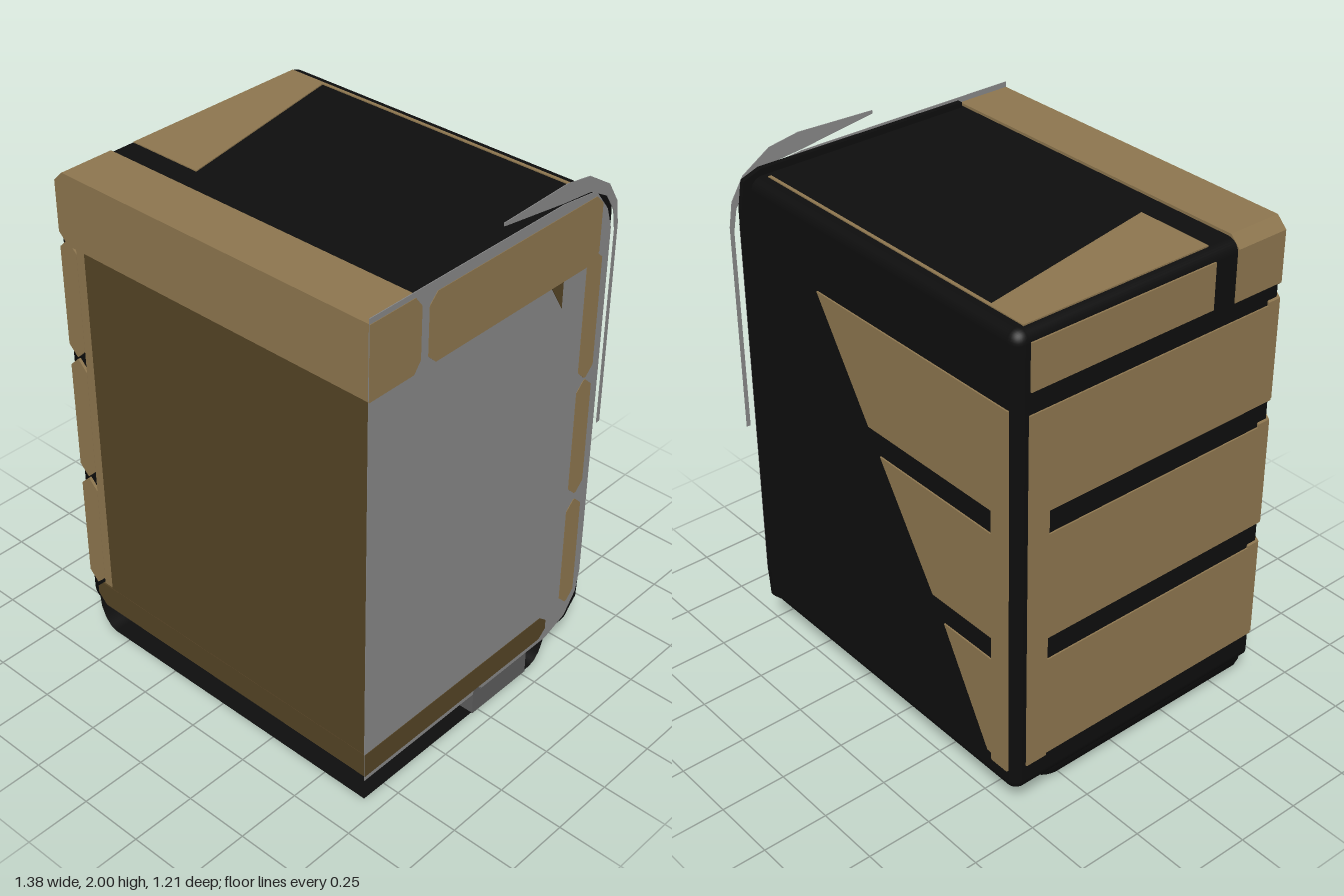
import * as THREE from 'three';
import { RoundedBoxGeometry } from 'three/addons/geometries/RoundedBoxGeometry.js';

const material = (name, color, side = THREE.FrontSide) => {
  const m = new THREE.MeshStandardMaterial({ color, side });
  m.name = name;
  return m;
};

export function createModel() {
  const model = new THREE.Group();
  const tan = material('tan', 0x8c754e);
  const brown = material('dark brown', 0x544325);
  const grey = material('grey', 0x868686);
  const darkGrey = material('dark grey', 0x5c5c5c);
  const black = material('black', 0x0d0d0d, THREE.DoubleSide);

  const add = (name, geometry, mat) => {
    const mesh = new THREE.Mesh(geometry, mat);
    mesh.name = name;
    model.add(mesh);
    return mesh;
  };
  const extrude = (pts, depth) => new THREE.ExtrudeGeometry(
    new THREE.Shape(pts.map(([a, b]) => new THREE.Vector2(a, b))), { depth, bevelEnabled: false });
  // outline in x, y, running forward from z
  const frontPlate = (name, mat, pts, z, depth) => add(name, extrude(pts, depth).translate(0, 0, z), mat);
  // outline in z, y, running towards +x from x
  const sidePlate = (name, mat, pts, x, depth) =>
    add(name, extrude(pts.map(([z, y]) => [-z, y]), depth).rotateY(Math.PI / 2).translate(x, 0, 0), mat);
  // outline in x, z, running upwards from y
  const topPlate = (name, mat, pts, y, depth) =>
    add(name, extrude(pts.map(([x, z]) => [x, -z]), depth).rotateX(-Math.PI / 2).translate(0, y, 0), mat);
  const rect = (a0, a1, b0, b1) => [[a0, b0], [a1, b0], [a1, b1], [a0, b1]];
  const octagon = (a0, a1, b0, b1, c) => [
    [a0 + c, b0], [a1 - c, b0], [a1, b0 + c], [a1, b1 - c],
    [a1 - c, b1], [a0 + c, b1], [a0, b1 - c], [a0, b0 + c]];

  // Black body: rounded box cut flat at the front and the +x side
  const body = new RoundedBoxGeometry(1.568, 1.79, 1.324, 4, 0.045).translate(0.1, 1.005, 0.138);
  const p = body.attributes.position;
  for (let i = 0; i < p.count; i++) {
    p.setX(i, Math.min(p.getX(i), 0.684));
    p.setZ(i, Math.min(p.getZ(i), 0.592));
  }
  add('body', body, black);

  // Raised rim along the cut side
  sidePlate('rim', black, [[0.38, 0.11], [-0.5, 0.12], [-0.56, 0.18], [-0.567, 0.3], [-0.567, 1.8],
    [-0.55, 1.9], [-0.48, 1.925], [0.38, 1.92]], 0.665, 0.02);

  // Grey lining that closes the cut side
  sidePlate('lining', grey, [[0.604, 0.09], [-0.38, 0.09], [-0.49, 0.13], [-0.55, 0.21], [-0.567, 0.3],
    [-0.567, 1.74], [-0.54, 1.82], [-0.47, 1.91], [-0.3, 1.93], [0.604, 1.93]], 0.685, 0.003);

  // Strap looping over the top and down the back
  const strap = [[0, 1.99], [0, 1.978], [-0.3, 1.935], [-0.44, 1.92], [-0.53, 1.87], [-0.575, 1.8],
    [-0.59, 1.72], [-0.59, 0.95], [-0.605, 0.95], [-0.605, 1.74], [-0.59, 1.83], [-0.54, 1.91],
    [-0.43, 1.98], [-0.31, 2], [-0.16, 1.995]];
  sidePlate('strap', grey, strap, 0.685, 0.003);

  // Padding sections on the cut side
  const section = (name, mat, pts) => sidePlate(name, mat, pts, 0.687, 0.003);
  section('headerSection', tan, [[0.604, 1.64], [0.604, 1.91], [0.405, 1.91], [0.375, 1.87], [0.375, 1.68], [0.405, 1.64]]);
  section('topSection', tan, octagon(-0.51, 0.34, 1.64, 1.89, 0.035));
  for (const [y0, y1] of [[0.2, 0.67], [0.7, 1.18], [1.19, 1.68]])
    section('backSection', tan, octagon(-0.53, -0.45, y0, y1, 0.035));
  section('bottomSection', brown, [[0.604, 0.11], [0.604, 0.21], [-0.34, 0.21], [-0.375, 0.18], [-0.375, 0.14], [-0.34, 0.11]]);
  section('foldSection', brown, [[-0.265, 1.64], [-0.325, 1.64], [-0.325, 1.54]]);

  // Front
  frontPlate('frontPanel', brown, rect(-0.57, 0.684, 0.2, 1.64), 0.59, 0.013);
  frontPlate('frontBar', brown, [[-0.61, 0.11], [0.684, 0.11], [0.684, 0.21], [-0.62, 0.21], [-0.65, 0.18], [-0.65, 0.15]], 0.59, 0.014);
  frontPlate('frontTrim', tan, rect(-0.61, -0.57, 0.215, 1.64), 0.59, 0.012);
  for (const [y0, y1] of [[0.2, 0.68], [0.69, 1.19], [1.2, 1.66]])
    frontPlate('sidePanelEnd', tan, octagon(-0.69, -0.61, y0, y1, 0.038), 0.55, 0.053);

  // Header pad across the front top
  frontPlate('header', tan, [[-0.65, 1.64], [0.685, 1.64], [0.685, 1.91], [-0.65, 1.91], [-0.69, 1.87], [-0.69, 1.68]], 0.39, 0.213);

  // Side and back panels, with the back ones cut along a diagonal
  const slant = (y) => 0.31 - 0.64 * (1.63 - y);
  for (const [y0, y1] of [[0.23, 0.635], [0.725, 1.14], [1.23, 1.63]]) {
    sidePlate('sidePanel', tan, rect(-0.4, 0.6, y0, Math.min(y1, 1.61)), -0.69, 0.009);
    frontPlate('backPanel', tan, [[-0.58, y0], [Math.max(slant(y0), -0.55), y0], [slant(y1), y1], [-0.58, y1]], -0.53, 0.009);
  }
  sidePlate('sideColumn', tan, rect(-0.475, -0.39, 0.22, 1.61), -0.69, 0.009);
  frontPlate('backColumn', tan, rect(-0.65, -0.57, 0.2, 1.63), -0.53, 0.009);
  sidePlate('upperSidePanel', tan, rect(-0.47, 0.29, 1.69, 1.86), -0.69, 0.009);

  // Top panel and seam
  topPlate('topPanel', tan, [[-0.65, -0.47], [-0.495, -0.47], [-0.35, 0.29], [-0.65, 0.29]], 1.896, 0.008);
  topPlate('topSeam', tan, rect(-0.5, 0.64, -0.47, -0.458), 1.896, 0.008);

  // Base: open tray with a rounded back corner
  const rings = [[0, 0.125], [0.005, 0.08], [0.025, 0.035], [0.05, 0.01], [0.08, 0]];
  const pos = [], index = [], corner = 6, n = corner + 3;
  for (const [inset, y] of rings) {
    pos.push(0.684, y, -0.38 + inset);
    for (let i = 0; i <= corner; i++) {
      const a = (i / corner) * Math.PI / 2, r = 0.1 - inset;
      pos.push(-0.55 - r * Math.sin(a), y, -0.28 - r * Math.cos(a));
    }
    pos.push(-0.65 + inset, y, 0.6);
  }
  for (let k = 0; k < rings.length - 1; k++)
    for (let i = 0; i < n - 1; i++) {
      const a = k * n + i, b = a + n;
      index.push(a, a + 1, b, a + 1, b + 1, b);
    }
  const last = (rings.length - 1) * n;
  pos.push(0.684, 0, 0.6);
  for (let i = 0; i < n - 1; i++) index.push(last + i, last + i + 1, last + n);
  const tray = new THREE.BufferGeometry();
  tray.setAttribute('position', new THREE.Float32BufferAttribute(pos, 3));
  tray.setIndex(index);
  tray.computeVertexNormals();
  add('base', tray, black);

  // Grey block set in the base
  frontPlate('baseBlock', darkGrey, [[-0.24, -0.002], [0.688, -0.002], [0.688, 0.112], [-0.39, 0.112]], -0.27, 0.3);

  model.position.y = 0.002;
  const group = new THREE.Group();
  group.name = 'backpack';
  group.add(model);
  return group;
}
